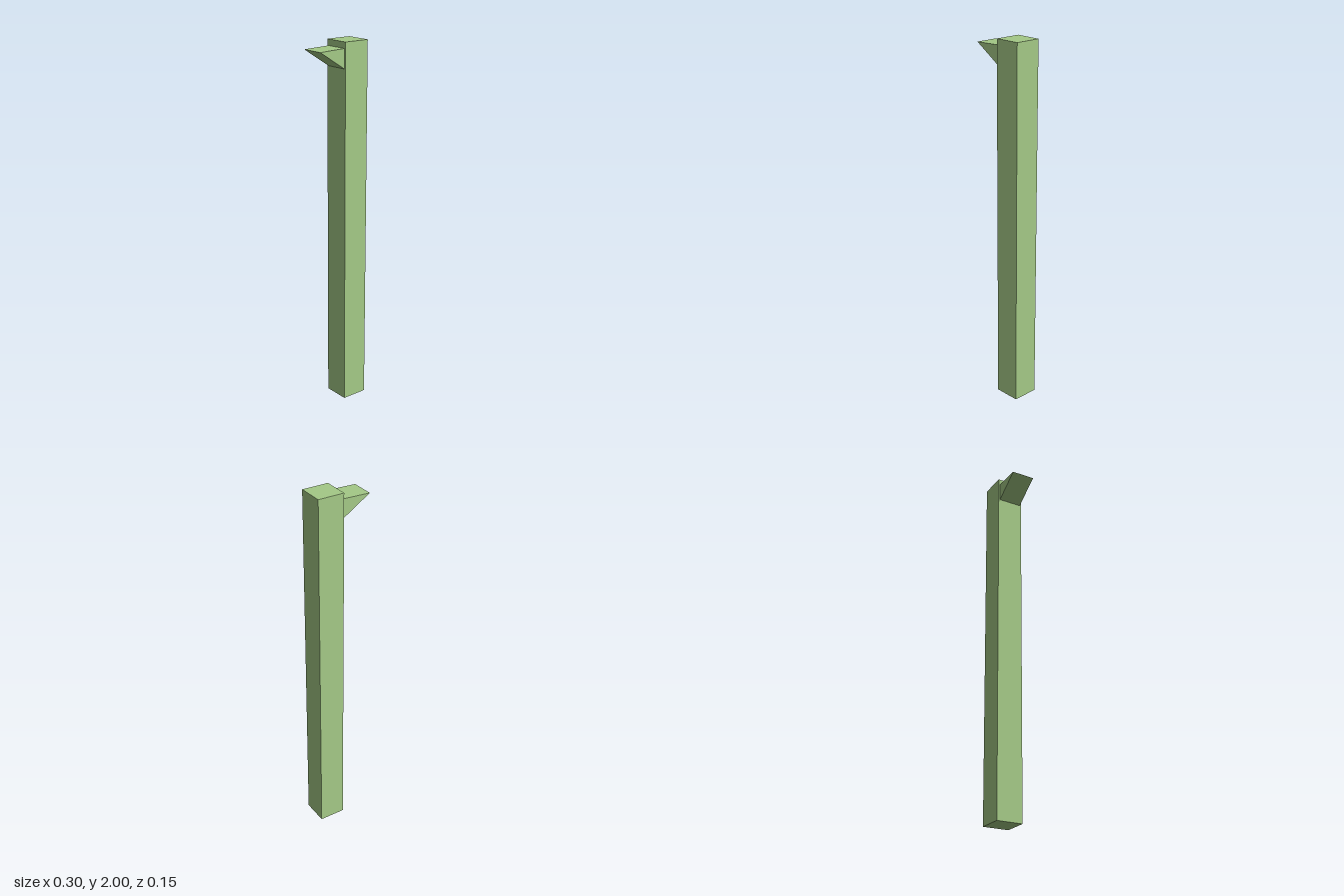
import * as THREE from 'three';

export function createModel() {
  const model = new THREE.Group();
  const green = new THREE.MeshStandardMaterial({ color: 0xa4c986, flatShading: true });

  // Square upright post
  const side = 0.146, height = 2;
  const post = new THREE.Mesh(new THREE.BoxGeometry(side, height, side), green);
  post.name = 'post';
  post.position.set(0.15 - side / 2, height / 2, 0);
  model.add(post);

  // Wedge-shaped spur near the top, with its sharp edge pointing outward
  const depth = 0.13, root = 0.004;
  const profile = new THREE.Shape([
    new THREE.Vector2(root, 1.967),
    new THREE.Vector2(-0.15, 1.962),
    new THREE.Vector2(root, 1.864),
  ]);
  const wedge = new THREE.ExtrudeGeometry(profile, { depth, bevelEnabled: false });
  wedge.translate(0, 0, -depth / 2);
  const spur = new THREE.Mesh(wedge, green);
  spur.name = 'spur';
  model.add(spur);

  return model;
}
